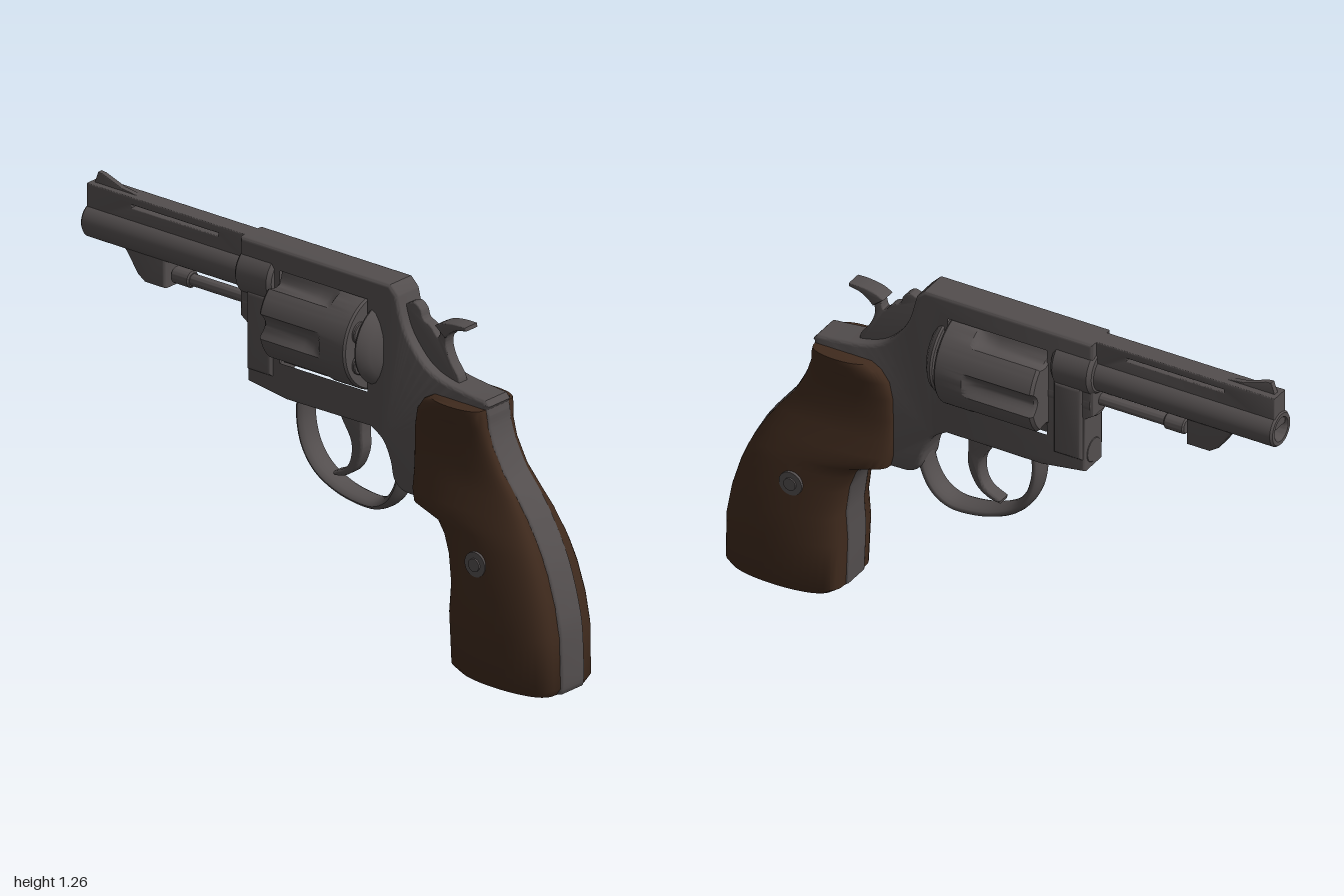
import * as THREE from 'three';
import { toCreasedNormals } from 'three/addons/utils/BufferGeometryUtils.js';

const mat = (name, color) => new THREE.MeshStandardMaterial({ name, color });

// Grip outline by height: y, front x, back x, half thickness
const GRIP = [
  [0.005, 0.6, 0.975, 0.14], [0.03, 0.567, 0.991, 0.158], [0.2, 0.56, 0.986, 0.163],
  [0.3, 0.567, 0.968, 0.158], [0.4, 0.553, 0.938, 0.149], [0.46, 0.53, 0.913, 0.141],
  [0.5, 0.5, 0.893, 0.136], [0.53, 0.4, 0.876, 0.131], [0.57, 0.39, 0.853, 0.123],
  [0.63, 0.39, 0.81, 0.102], [0.7, 0.39, 0.753, 0.092], [0.78, 0.392, 0.71, 0.092],
  [0.84, 0.405, 0.69, 0.1], [0.88, 0.435, 0.685, 0.112], [0.9, 0.47, 0.68, 0.112],
];

// Skin a list of equal rings (counter-clockwise about the travel direction) and cap both ends
function loft(rings, crease = 0.7) {
  const n = rings[0].length, pos = rings.flat(2), idx = [];
  for (let i = 0; i < rings.length - 1; i++) {
    for (let j = 0; j < n; j++) {
      const a = i * n + j, b = i * n + (j + 1) % n;
      idx.push(a, b, b + n, a, b + n, a + n);
    }
  }
  [0, rings.length - 1].forEach((r, end) => {
    const centre = pos.length / 3;
    for (let k = 0; k < 3; k++) pos.push(rings[r].reduce((s, p) => s + p[k], 0) / n);
    for (let j = 0; j < n; j++) {
      const a = r * n + j, b = r * n + (j + 1) % n;
      idx.push(centre, end ? a : b, end ? b : a);
    }
  });
  const g = new THREE.BufferGeometry();
  g.setAttribute('position', new THREE.Float32BufferAttribute(pos, 3));
  g.setIndex(idx);
  return toCreasedNormals(g, crease);
}

// Side outline extruded to +-half in z, with bevelled edges
function plate(shape, half, bevel) {
  const g = new THREE.ExtrudeGeometry(shape, {
    depth: 2 * (half - bevel), bevelEnabled: bevel > 0, bevelThickness: bevel, bevelSize: bevel,
    bevelOffset: -bevel, bevelSegments: 3, curveSegments: 8,
  });
  g.translate(0, 0, -(half - bevel));
  return toCreasedNormals(g, 0.7);
}

const vecs = (pts) => pts.map(([x, y]) => new THREE.Vector2(x, y));
const poly = (pts) => new THREE.Shape(vecs(pts));

// Solid turned about an x-directed axis at height y; profile points are [radius, x]
function turned(profile, y, segments = 40) {
  const g = new THREE.LatheGeometry(vecs(profile), segments);
  g.rotateZ(-Math.PI / 2);
  g.translate(0, y, 0);
  return toCreasedNormals(g, 0.7);
}
const rod = (r, x0, x1, y, e = 0.005) =>
  turned([[0, x0], [r - e, x0], [r, x0 + e], [r, x1 - e], [r - e, x1], [0, x1]], y);

function frameShape() {
  const s = new THREE.Shape();
  s.moveTo(-0.34, 1.22);
  s.lineTo(0.28, 1.22);
  s.lineTo(0.31, 1.19);
  s.splineThru(vecs([[0.335, 1.1], [0.37, 1.04], [0.43, 0.98], [0.5, 0.95], [0.6, 0.935], [0.675, 0.928]]));
  s.lineTo(0.69, 0.91);
  // back strap, butt and front strap follow the grip
  s.splineThru(vecs([...GRIP].reverse().map(([y, , xb]) => [xb + 0.005, y])));
  s.lineTo(0.96, 0);
  s.lineTo(0.61, 0);
  GRIP.slice(0, 7).forEach(([y, xf]) => s.lineTo(xf - 0.005, y));
  s.lineTo(0.45, 0.522);
  s.lineTo(0.385, 0.525);
  s.splineThru(vecs([[0.33, 0.53], [0.295, 0.56], [0.28, 0.62], [0.25, 0.68], [0.2, 0.715]]));
  [[-0.15, 0.712], [-0.31, 0.735], [-0.31, 0.93], [-0.34, 0.95]].forEach((p) => s.lineTo(...p));
  // cylinder window
  s.holes.push(new THREE.Path(vecs([[-0.185, 0.82], [-0.185, 1.16], [0.203, 1.16], [0.203, 0.82]])));
  return s;
}

// Fluted drum
function drumGeometry() {
  const stations = [[-0.178, 0.155, 1], [-0.168, 0.164, 1], [0, 0.164, 1], [0.04, 0.164, 0.85],
    [0.065, 0.164, 0.5], [0.08, 0.164, 0], [0.178, 0.164, 0], [0.185, 0.158, 0]];
  return loft(stations.map(([x, r, flute]) => Array.from({ length: 96 }, (_, i) => {
    const t = (i / 96) * Math.PI * 2;
    const q = r - 0.032 * flute * Math.pow(Math.max(0, -Math.cos(6 * t)), 0.7);
    return [x, 0.99 + q * Math.cos(t), q * Math.sin(t)];
  })));
}

// Bulged wooden panel on one side of the grip
function panelGeometry(side) {
  const N = 20;
  return loft(GRIP.map(([y, xf, xb, t]) => {
    const ring = Array.from({ length: N + 1 }, (_, i) => {
      const a = (i / N) * Math.PI;
      const x = (xf + xb) / 2 - Math.cos(a) * (xb - xf) / 2;
      return [x, y, side * (0.05 + (t - 0.05) * Math.pow(Math.max(0, Math.sin(a)), 0.6))];
    });
    return side > 0 ? ring : ring.reverse();
  }), 0.8);
}

export function createModel() {
  const model = new THREE.Group();
  model.name = 'revolver';
  const steel = mat('gunmetal', 0x534e4e);
  const wood = mat('walnut', 0x3f2a1d);
  const add = (name, geometry, material = steel) => {
    const m = new THREE.Mesh(geometry, material);
    m.name = name;
    model.add(m);
    return m;
  };

  add('frame', plate(frameShape(), 0.058, 0.012));

  // Barrel, vented rib and front sight
  add('barrel', turned([[0, -0.85], [0.036, -0.85], [0.036, -0.99], [0.042, -1], [0.055, -1],
    [0.061, -0.993], [0.061, -0.3]], 1.091));
  const rib = poly([[-0.995, 1.1], [-0.3, 1.1], [-0.3, 1.22], [-0.995, 1.22]]);
  rib.holes.push(new THREE.Path(vecs([[-0.81, 1.184], [-0.81, 1.195], [-0.45, 1.195], [-0.45, 1.184]])));
  add('barrelRib', plate(rib, 0.034, 0.003));
  add('frontSight', plate(poly([[-0.985, 1.21], [-0.968, 1.258], [-0.95, 1.256], [-0.87, 1.228],
    [-0.79, 1.218], [-0.79, 1.21]]), 0.01, 0.002));
  add('underLug', plate(poly([[-0.85, 1.05], [-0.83, 1.03], [-0.785, 0.965], [-0.755, 0.945],
    [-0.67, 0.945], [-0.67, 1.05]]), 0.036, 0.01));
  add('barrelCollar', rod(0.086, -0.345, -0.195, 1.1, 0.012));

  // Ejector rod and crane
  add('ejectorRod', rod(0.02, -0.62, -0.3, 0.99));
  add('ejectorTip', rod(0.028, -0.655, -0.58, 0.99));
  add('craneTube', rod(0.06, -0.335, -0.172, 0.99));
  add('craneArm', plate(poly([[-0.305, 0.78], [-0.2, 0.78], [-0.2, 1.05], [-0.305, 1.05]]), 0.07, 0.015));
  add('craneHinge', rod(0.045, -0.312, -0.195, 0.79));

  // Drum with cartridge rims, ratchet and recoil shield
  add('drum', drumGeometry());
  add('ratchet', rod(0.05, 0.18, 0.204, 0.99));
  for (let i = 0; i < 6; i++) {
    const a = (i * Math.PI) / 3;
    const rim = add('cartridgeRim', rod(0.036, 0.18, 0.195, 0, 0.003));
    rim.position.set(0, 0.99 + 0.105 * Math.cos(a), 0.105 * Math.sin(a));
  }
  add('recoilShield', turned([[0, 0.203], [0.136, 0.203], [0.14, 0.21], [0.132, 0.225],
    [0.108, 0.242], [0.075, 0.256], [0, 0.262]], 0.99));

  // Trigger guard and trigger
  const guardPath = new THREE.CatmullRomCurve3([[-0.112, 0.74], [-0.112, 0.64], [-0.09, 0.56], [-0.04, 0.495],
    [0.04, 0.453], [0.13, 0.434], [0.2, 0.436], [0.255, 0.468], [0.292, 0.53], [0.31, 0.62]]
    .map(([x, y]) => new THREE.Vector3(x, y, 0)));
  const guard = new THREE.TubeGeometry(guardPath, 48, 0.018, 14);
  guard.scale(1, 1, 2.4);
  guard.computeVertexNormals();
  add('triggerGuard', guard);
  const trigger = new THREE.Shape();
  trigger.moveTo(0.03, 0.74);
  trigger.splineThru(vecs([[0.055, 0.69], [0.09, 0.63], [0.092, 0.575], [0.07, 0.53], [0.018, 0.502]]));
  trigger.lineTo(0.02, 0.49);
  trigger.splineThru(vecs([[0.065, 0.5], [0.11, 0.535], [0.138, 0.6], [0.138, 0.67], [0.14, 0.74]]));
  add('trigger', plate(trigger, 0.026, 0.008));

  // Hammer with a wide thumb spur
  const hammer = new THREE.Shape();
  hammer.moveTo(0.31, 1.15);
  hammer.splineThru(vecs([[0.35, 1.168], [0.378, 1.15], [0.39, 1.12], [0.42, 1.105], [0.45, 1.075], [0.462, 1.11], [0.475, 1.125]]));
  hammer.lineTo(0.525, 1.125);
  hammer.splineThru(vecs([[0.495, 1.1], [0.483, 1.06], [0.5, 1.01], [0.535, 0.96], [0.54, 0.92]]));
  hammer.lineTo(0.36, 0.95);
  add('hammer', plate(hammer, 0.02, 0.004));
  const spur = new THREE.Shape();
  spur.moveTo(0.445, 1.118);
  spur.splineThru(vecs([[0.48, 1.135], [0.53, 1.143], [0.572, 1.143]]));
  spur.lineTo(0.574, 1.13);
  spur.splineThru(vecs([[0.535, 1.122], [0.505, 1.105], [0.485, 1.085]]));
  add('hammerSpur', plate(spur, 0.03, 0.004));

  // Grip panels with their screws
  for (const side of [1, -1]) {
    const word = side > 0 ? 'Left' : 'Right';
    add('gripPanel' + word, panelGeometry(side), wood);
    [[0.042, 0.152], [0.022, 0.158]].forEach(([r, z], i) => {
      const g = new THREE.CylinderGeometry(r, r, 0.05, 24);
      g.rotateX(Math.PI / 2);
      g.translate(0.715, 0.41, side * (z - 0.025));
      add((i ? 'screwHead' : 'screwWasher') + word, g);
    });
  }
  return model;
}
